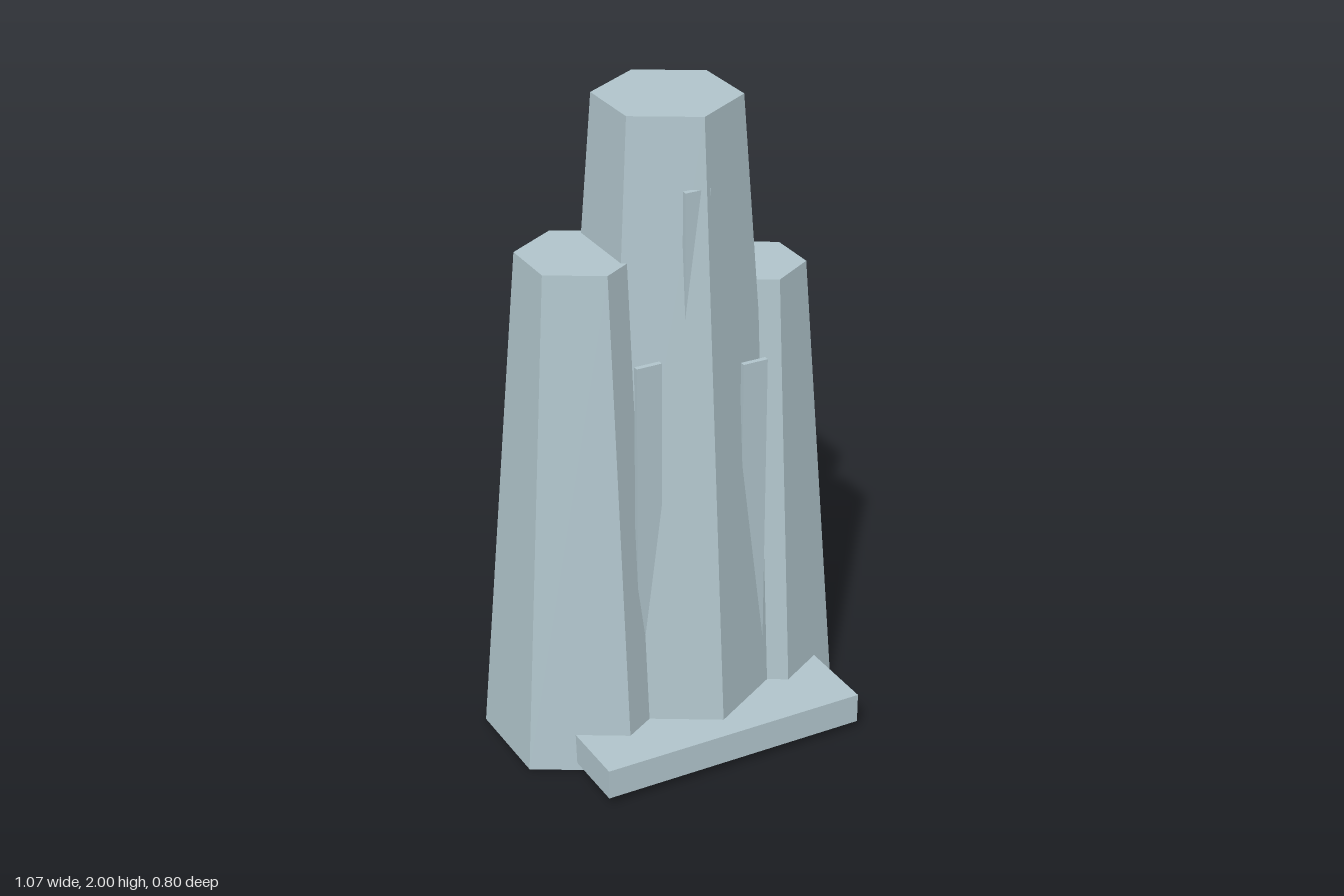
import * as THREE from 'three';

export function createModel() {
  const model = new THREE.Group();
  const ice = new THREE.MeshStandardMaterial({ color: 0xb0c4cb });
  ice.name = 'paleBlueGrey';
  ice.flatShading = true;

  const add = (name, geometry, x, y, z) => {
    const mesh = new THREE.Mesh(geometry, ice);
    mesh.name = name;
    mesh.position.set(x, y, z);
    model.add(mesh);
  };

  // Tapered hexagonal columns, with a corner facing the front
  const column = (name, x, topRadius, bottomRadius, height) =>
    add(name, new THREE.CylinderGeometry(topRadius, bottomRadius, height, 6), x, height / 2, -0.033);
  column('centreColumn', 0.018, 0.215, 0.365, 2);
  column('rightColumn', -0.268, 0.182, 0.308, 1.573);
  column('leftColumn', 0.303, 0.157, 0.266, 1.43);

  // Front step, its back buried in the columns
  add('frontStep', new THREE.BoxGeometry(0.855, 0.095, 0.32), 0.018, 0.0725, 0.24);

  // Upright slats that emerge from the sloping front faces
  const slat = (name, x, bottom, top) =>
    add(name, new THREE.BoxGeometry(0.08, top - bottom, 0.016), x, (top + bottom) / 2, 0.182);
  slat('rightSlat', -0.16, 0.25, 1.287);
  slat('centreSlat', -0.005, 1.1, 1.79);
  slat('leftSlat', 0.188, 0.2, 1.22);

  return model;
}
